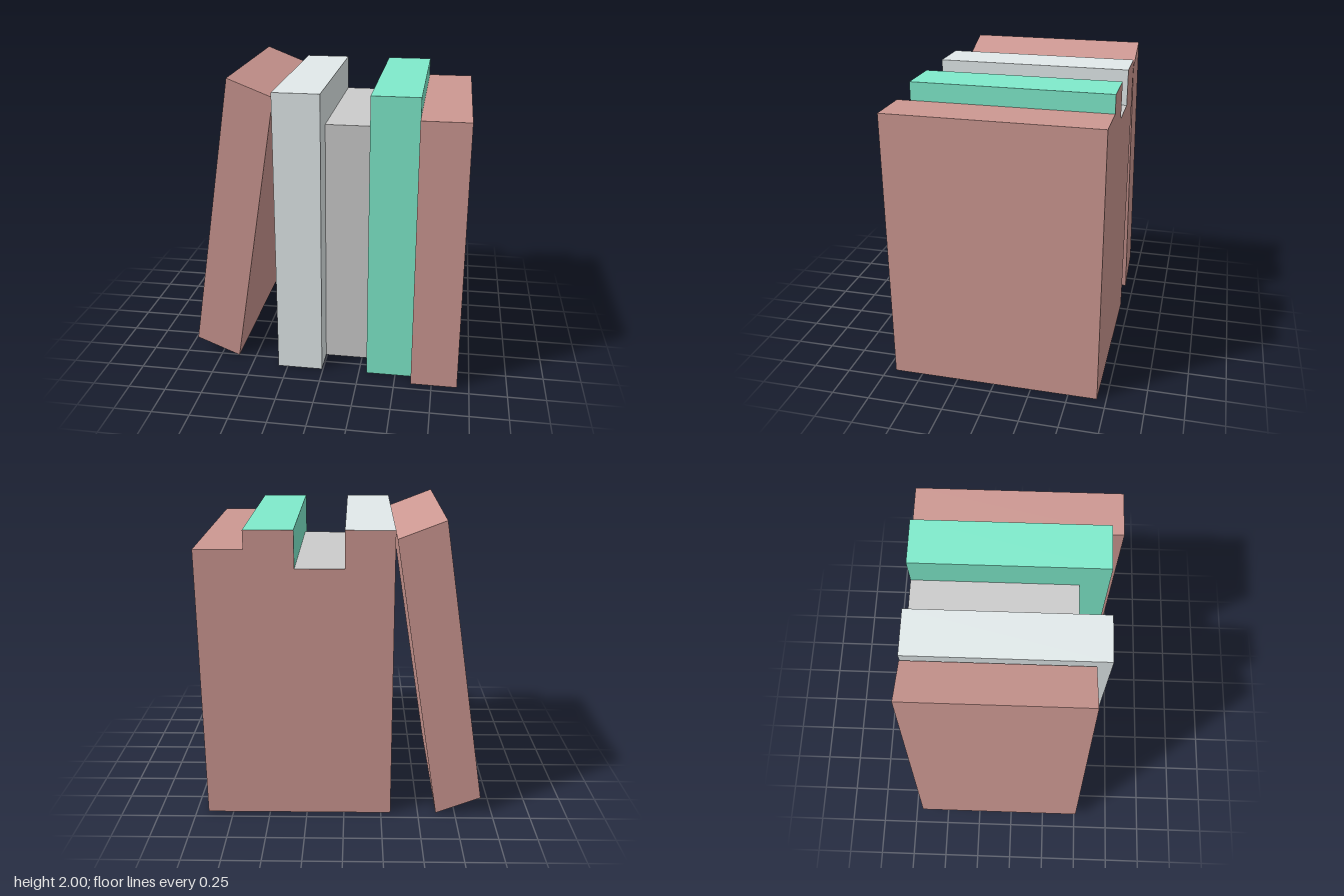
import * as THREE from 'three';

const BACK = -0.69;
const paint = (color) => new THREE.MeshStandardMaterial({ color });

export function createModel() {
  const model = new THREE.Group();
  const brown = paint(0xcd9892);
  const pale = paint(0xe2eaeb);
  const grey = paint(0xcccccc);
  const green = paint(0x7febcc);

  // Upright books: name, left edge, right edge, height, front z, cover
  const books = [
    ['paleBook', -0.315, -0.008, 1.94, 0.6, pale],
    ['greyBook', -0.008, 0.302, 1.7, 0.41, grey],
    ['greenBook', 0.302, 0.611, 1.94, 0.6, green],
    ['brownBook', 0.611, 0.92, 1.82, 0.69, brown],
  ];
  for (const [name, x0, x1, height, front, cover] of books) {
    const geometry = new THREE.BoxGeometry(x1 - x0, height, front - BACK);
    // Underside and back are brown on every book
    const book = new THREE.Mesh(geometry, [cover, cover, cover, brown, cover, brown]);
    book.name = name;
    book.position.set((x0 + x1) / 2, height / 2, (front + BACK) / 2);
    model.add(book);
  }

  // Slanted book leaning on the row
  const outline = new THREE.Shape([
    new THREE.Vector2(-0.92, 0.12),
    new THREE.Vector2(-0.622, 0),
    new THREE.Vector2(-0.325, 1.885),
    new THREE.Vector2(-0.622, 2),
  ]);
  const leaning = new THREE.Mesh(
    new THREE.ExtrudeGeometry(outline, { depth: 0.505 - BACK, bevelEnabled: false }),
    brown
  );
  leaning.name = 'leaningBook';
  leaning.position.z = BACK;
  model.add(leaning);

  return model;
}
